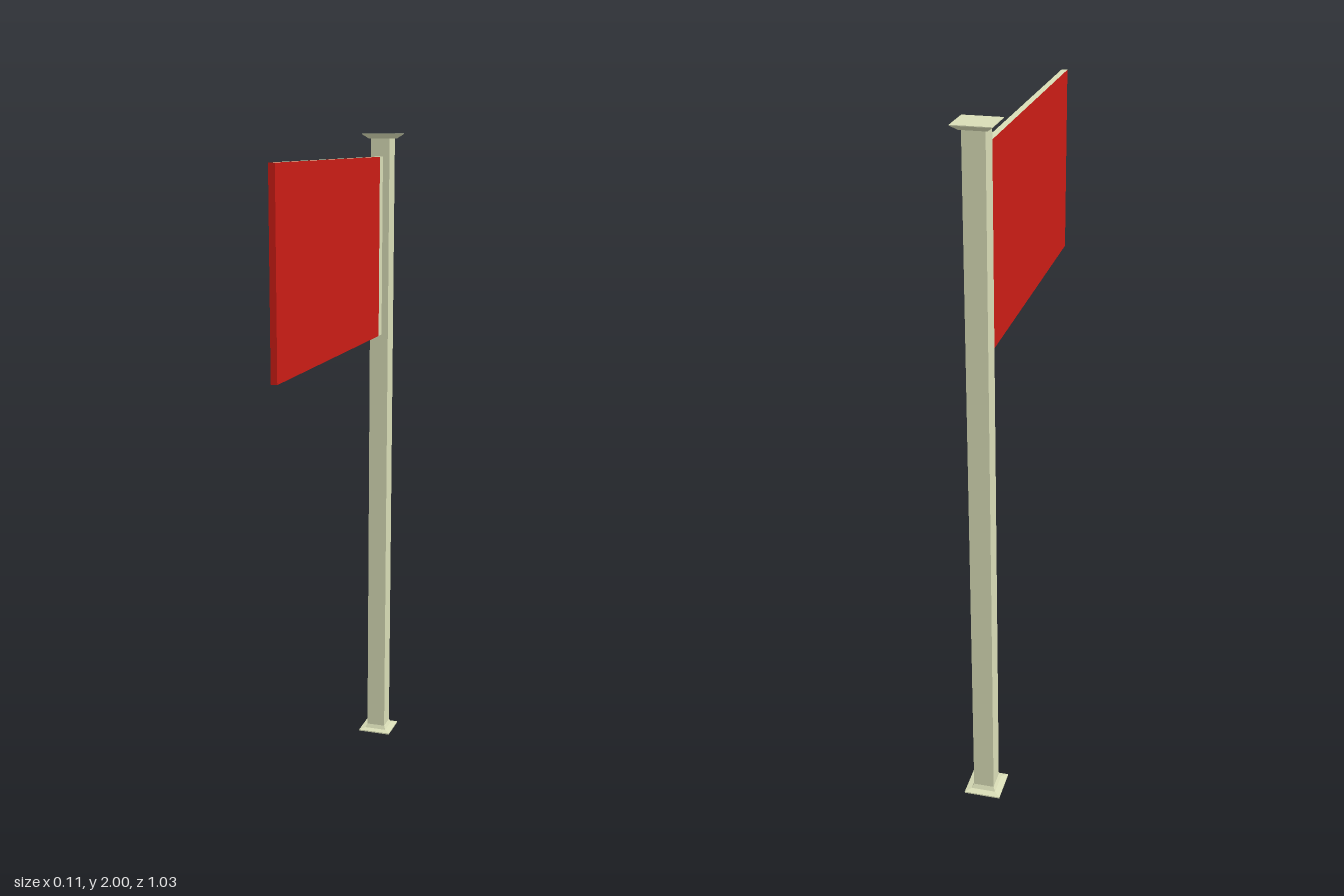
import * as THREE from 'three';

const cream = new THREE.MeshStandardMaterial({ color: 0xd8dcb6, flatShading: true });
const red = new THREE.MeshStandardMaterial({ color: 0xca1c15, flatShading: true });

const POST_Z = -0.463;
const TOP = 1.93, BOTTOM = 1.375, THICK = 0.018;

// Slab of the banner running from z0 to z1
function slab(name, z0, z1, material) {
  const mesh = new THREE.Mesh(new THREE.BoxGeometry(THICK, TOP - BOTTOM, z1 - z0), material);
  mesh.position.set(0, (TOP + BOTTOM) / 2, (z0 + z1) / 2);
  mesh.name = name;
  return mesh;
}

export function createModel() {
  const model = new THREE.Group();
  model.name = 'bannerPost';

  // Square post with flared foot and cap: [half width, height]
  const profile = [
    [0, 0], [0.053, 0], [0.053, 0.004], [0.036, 0.008], [0.03, 0.02],
    [0.03, 1.985], [0.036, 1.985], [0.053, 1.998], [0.053, 2], [0, 2],
  ].map(([r, y]) => new THREE.Vector2(r * Math.SQRT2, y));
  const geometry = new THREE.LatheGeometry(profile, 4).rotateY(Math.PI / 4).toNonIndexed();
  geometry.computeVertexNormals();
  const post = new THREE.Mesh(geometry, cream);
  post.position.z = POST_Z;
  post.name = 'post';
  model.add(post);

  // Plain strip joining the banner to the post
  model.add(slab('bannerMount', -0.433, -0.4, cream));

  // Banner: red faces and outer end, plain top and bottom edges
  model.add(slab('banner', -0.4, 0.515, [red, red, cream, cream, red, cream]));

  return model;
}
